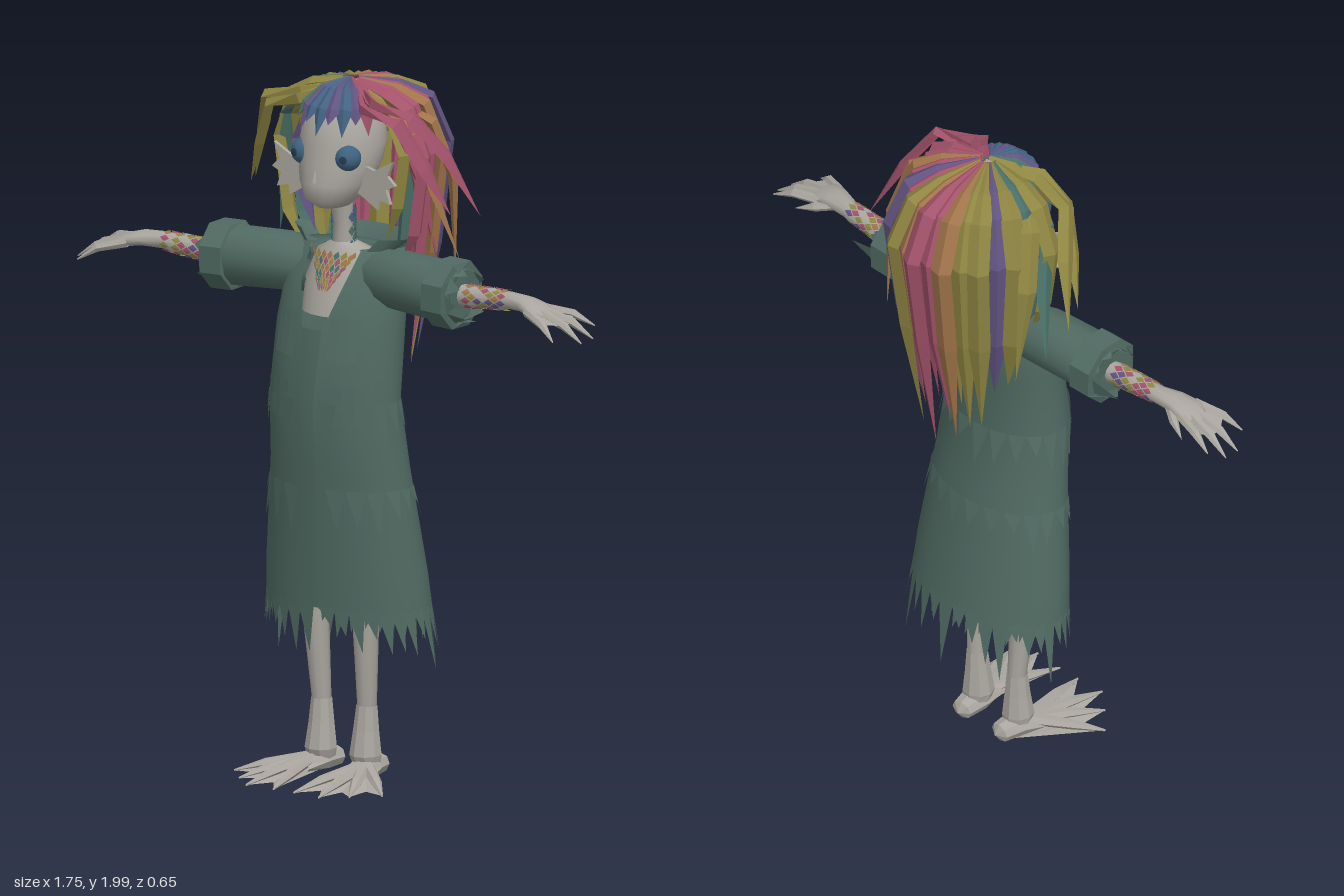
import * as THREE from 'three';
import { mergeVertices } from 'three/addons/utils/BufferGeometryUtils.js';

const V = (x, y, z) => new THREE.Vector3(x, y, z);
const mat = (name, color) => {
  const m = new THREE.MeshStandardMaterial({ color, side: THREE.DoubleSide });
  m.name = name;
  return m;
};

export function createModel() {
  const root = new THREE.Group();
  root.name = 'ragCoatedFigure';
  const coat = mat('coatGreen', 0x506a62), skin = mat('paleSkin', 0xaaa69f);
  const pink = mat('pink', 0xa3526a), olive = mat('olive', 0x8f8642), orange = mat('orange', 0xa0744a);
  const teal = mat('teal', 0x4a7069), purple = mat('purple', 0x625482), blue = mat('blue', 0x446283);
  const eyeBlue = mat('eyeBlue', 0x3f627f), pupilDark = mat('pupilDark', 0x263c50);
  let seed = 7;
  const rnd = () => (seed = (seed * 16807) % 2147483647) / 2147483647;

  const add = (name, geo, m, parent = root) => {
    const mesh = new THREE.Mesh(geo, m);
    mesh.name = name;
    parent.add(mesh);
    return mesh;
  };
  const group = (name) => {
    const g = new THREE.Group();
    g.name = name;
    root.add(g);
    return g;
  };
  const build = (pts, index) => {
    const g = new THREE.BufferGeometry().setFromPoints(pts);
    if (index) g.setIndex(index);
    return g;
  };
  const grid = (pts, n, smooth) => {
    const index = [], w = n + 1;
    for (let i = 0; i < pts.length / w - 1; i++) for (let j = 0; j < n; j++) {
      const a = i * w + j, c = a + w;
      index.push(a, c, a + 1, a + 1, c, c + 1);
    }
    let g = build(pts, index);
    g = smooth ? mergeVertices(g, 1e-5) : g.toNonIndexed();
    g.computeVertexNormals();
    return g;
  };
  const tris = (name, pts, m, parent) => {
    const g = build(pts);
    g.computeVertexNormals();
    return add(name, g, m, parent);
  };
  // Tube along points; each size is [width, thickness], ref points along the thickness
  const tube = (path, sizes, sides, ref, smooth = false) => {
    const pts = [];
    path.forEach((p, i) => {
      const t = path[Math.min(i + 1, path.length - 1)].clone().sub(path[Math.max(i - 1, 0)]).normalize();
      const side = t.clone().cross(ref).normalize(), n = side.clone().cross(t);
      for (let j = 0; j <= sides; j++) {
        const a = ((j % sides) / sides) * Math.PI * 2;
        pts.push(p.clone().addScaledVector(side, Math.cos(a) * sizes[i][0]).addScaledVector(n, Math.sin(a) * sizes[i][1]));
      }
    });
    return grid(pts, sides, smooth);
  };
  // Horizontal sections [y, half width, back z, front z, front gap angle], from top to bottom
  const section = ([y, rx, zb, zf], a, k = 1) =>
    V(rx * k * Math.sin(a), y, (zb + zf) / 2 + ((zf - zb) / 2) * k * Math.cos(a));
  const loft = (rows, n, k = 1) => {
    const pts = [];
    for (const r of rows) for (let j = 0; j <= n; j++) {
      const gap = r[4] || 0;
      pts.push(section(r, gap + (Math.PI * 2 - 2 * gap) * (gap ? j : j % n) / n, k));
    }
    return grid(pts, n, true);
  };

  // Coat, inner dress and collar
  const coatRows = [
    [1.51, 0.08, -0.06, 0.06, 0.8], [1.515, 0.165, -0.11, 0.085, 0.55], [1.42, 0.19, -0.112, 0.145, 0.38],
    [1.3, 0.196, -0.095, 0.185, 0.17], [1.1, 0.202, -0.065, 0.212, 0.12], [0.9, 0.218, -0.09, 0.188, 0.06],
    [0.6, 0.255, -0.135, 0.17, 0.04], [0.5, 0.262, -0.15, 0.165, 0.04]];
  add('coat', loft(coatRows, 32), coat);
  add('innerDress', loft(coatRows.slice(3).map((r) => r.slice(0, 4)), 24, 0.93), coat);
  add('collar', loft([[1.55, 0.195, -0.12, 0.08, 0.75], [1.5, 0.13, -0.07, 0.09, 0.75], [1.47, 0.13, -0.07, 0.1, 0.6]], 20), coat);
  const onCoat = (a, y, k = 1) => {
    const last = coatRows.length - 1, below = coatRows.findIndex((r) => r[0] < y);
    const i = below < 0 ? last - 1 : Math.max(1, below - 1);
    const p = coatRows[i], q = coatRows[i + 1], t = (p[0] - y) / (p[0] - q[0]);
    return section(p.slice(0, 4).map((v, c) => v + (q[c] - v) * t), a, k);
  };
  // Torn hem and ragged layers
  const hem = [], rags = [], N = 34;
  for (let i = 0; i < N; i++) {
    const a = 0.04 + (6.2 * i) / N, b = 0.04 + (6.2 * (i + 1)) / N, m = (a + b) / 2;
    const drop = 0.04 + 0.1 * rnd() + (Math.cos(m) < 0.3 && i % 4 === 0 ? 0.06 : 0);
    hem.push(onCoat(a - 0.02, 0.51), onCoat(m + 0.05, 0.5 - drop, 1.02), onCoat(b + 0.02, 0.51));
    hem.push(onCoat(a, 0.52, 0.95), onCoat(a + 0.02, 0.41 + 0.06 * rnd(), 0.95), onCoat(b, 0.52, 0.95));
  }
  for (const y of [1.1, 0.85]) for (let i = 0; i < 20; i++) {
    const a = 0.2 + (5.9 * i) / 20, h = 0.05 + 0.08 * rnd();
    rags.push(onCoat(a, y, 1.01), onCoat(a + 0.08 + 0.1 * rnd(), y - h, 1.045), onCoat(a + 0.28, y, 1.01));
  }
  tris('tornHem', hem, coat);
  tris('raggedLayers', rags, coat);
  // Chest and hip pockets
  for (const s of [1, -1]) for (const [y0, y1, a0, a1] of [[1.34, 1.22, 0.28, 0.75], [1.15, 1.04, 0.35, 0.9]]) {
    const p = (i, y) => onCoat(s * (a0 + ((a1 - a0) * i) / 3), y, 1.03);
    const cloth = [];
    for (let i = 0; i < 3; i++) cloth.push(p(i, y0), p(i, y1), p(i + 1, y1), p(i, y0), p(i + 1, y1), p(i + 1, y0));
    tris('pocket', cloth, coat);
  }

  // Torso and neck
  add('chest', loft([[1.53, 0.03, 0, 0.07], [1.5, 0.09, -0.05, 0.085], [1.42, 0.12, -0.07, 0.12], [1.33, 0.12, -0.07, 0.14]], 20), skin);
  add('neck', tube([V(0, 1.48, 0.03), V(0, 1.58, 0.035), V(0, 1.68, 0.05)], [[0.035, 0.035], [0.027, 0.027], [0.035, 0.035]], 10, V(0, 0, 1), true), skin);
  // Coloured scales: staggered diamonds on a surface at(u, v)
  const scales = (name, at, nu, nv, mats, wrap = false) => {
    const g = group(name), sets = mats.map(() => []);
    for (let j = 0; j < nv; j++) for (let i = 0; i < nu; i++) {
      const u = i + 0.5 + (wrap || i < nu - 1 ? (j % 2) / 2 : 0), v = j + 0.5;
      const d = [[0, -0.8], [0.45, 0], [0, 0.8], [-0.45, 0]].map(([x, y]) => at((u + x) / nu, (v + y) / nv));
      sets[Math.floor(rnd() * mats.length)].push(d[0], d[1], d[2], d[0], d[2], d[3]);
    }
    sets.forEach((p, k) => p.length && tris('scales', p, mats[k], g));
  };
  scales('chestScales', (u, v) => {
    const w = 0.08 * (1 - 0.75 * v), x = (u - 0.5) * 2 * w, y = 1.505 - 0.1 * v;
    return V(x, y, 0.095 + 0.04 * v - x * x * 4);
  }, 7, 6, [pink, orange, olive, pink, orange, teal]);
  scales('neckScales', (u, v) => {
    const a = 1.0 + u * 4.3, r = 0.036;
    return V(Math.sin(a) * r, 1.51 + 0.12 * v, 0.035 + Math.cos(a) * r);
  }, 6, 6, [blue, teal]);

  // Head
  add('head', loft([[1.975, 0, 0.02, 0.02], [1.955, 0.06, -0.04, 0.08], [1.9, 0.108, -0.085, 0.14], [1.82, 0.122, -0.09, 0.158],
    [1.76, 0.115, -0.07, 0.165], [1.71, 0.1, -0.04, 0.176], [1.665, 0.074, 0, 0.172], [1.64, 0.042, 0.02, 0.14], [1.64, 0, 0.08, 0.08]], 20), skin);
  const nose = add('nose', new THREE.ConeGeometry(0.012, 0.035, 4), skin);
  nose.position.set(0, 1.735, 0.168);
  for (const s of [1, -1]) {
    const eye = add('eye', new THREE.SphereGeometry(0.038, 16, 12), eyeBlue);
    eye.position.set(s * 0.075, 1.79, 0.116);
    const pupil = add('pupil', new THREE.SphereGeometry(0.0385, 12, 4, 0, Math.PI * 2, 0, 0.3), pupilDark);
    pupil.position.copy(eye.position);
    pupil.rotation.set(Math.PI / 2, 0, -s * 0.25);
    // Fin-shaped ears
    const fin = new THREE.Shape([[0.08, 1.77], [0.14, 1.755], [0.205, 1.79], [0.185, 1.745], [0.212, 1.72], [0.18, 1.705],
      [0.195, 1.665], [0.155, 1.675], [0.15, 1.645], [0.11, 1.67], [0.07, 1.69]].map(([x, y]) => new THREE.Vector2(s * x, y)));
    add('earFin', new THREE.ExtrudeGeometry(fin, { depth: 0.012, bevelEnabled: false }), skin).position.z = 0.07;
  }

  // Hair locks
  const hair = group('hair');
  const lock = (m, path, w) => {
    const end = path[path.length - 1], ref = V(end.x, 0, end.z + 0.001).normalize();
    const sizes = path.map((_, i) => (i === path.length - 1 ? [0, 0] : [i ? w : w * 0.4, i ? w * 0.55 : w * 0.3]));
    add('lock', tube(path, sizes, 4, ref), m, hair);
  };
  const backColours = [olive, teal, olive, purple, teal, olive, olive, orange, pink, pink, orange, olive, pink, orange, purple, pink, orange, pink, pink];
  for (const [count, k, dy] of [[17, 1, 0], [13, 0.74, 0.05]]) for (let i = 0; i < count; i++) {
    const f = (i / (count - 1)) * 2 - 1, a = f * 1.55, x = Math.sin(a), z = -Math.cos(a);
    const tip = Math.min(1.6, 1.1 + 0.36 * f * f + (i % 2 ? 0.12 : 0.03) * rnd() + dy), r = k * (i % 2 ? 0.93 : 1);
    const at = (d, y) => V(x * d * r * 0.8, y, z * d * r);
    lock(backColours[Math.round((f * 0.5 + 0.5) * 18 + (k < 1 ? 3 : 0)) % 19], [at(0.03, 1.98), at(0.16, 1.955 - dy * 0.5),
      at(0.25, 1.92 - dy), at(0.31, 1.79), at(0.27, Math.max(1.5, tip + 0.1)), at(0.21, tip)], 0.031);
  }
  // Fringe
  [olive, teal, purple, blue, blue, purple, blue, purple, pink].forEach((m, i) => {
    const a = (i - 4) * 0.3, x = Math.sin(a), z = Math.cos(a), low = i % 2 ? 1.885 : 1.85;
    lock(m, [V(0, 1.985, 0), V(x * 0.06, 1.965, 0.01 + z * 0.075), V(x * 0.11, 1.92, 0.025 + z * 0.11), V(x * 0.128, low, 0.03 + z * 0.135)], 0.025);
  });
  // Side bunches
  for (const s of [1, -1]) {
    const main = s > 0 ? pink : olive;
    const strands = [
      [main, [0.12, 1.935, 0.06], [0.25, 1.915, 0.05], [0.315, 1.8, -0.02], [0.388, 1.63, -0.08]],
      [main, [0.11, 1.925, 0.09], [0.22, 1.9, 0.08], [0.285, 1.77, 0.04], [0.345, 1.64, 0.0]],
      [s > 0 ? orange : teal, [0.13, 1.92, 0.03], [0.22, 1.86, 0.0], [0.25, 1.7, -0.04], [0.31, 1.49, -0.09]],
      [main, [0.1, 1.93, 0.06], [0.17, 1.87, 0.01], [0.2, 1.7, -0.06], [0.22, 1.46, -0.11]],
      [s > 0 ? pink : teal, [0.1, 1.93, 0.03], [0.155, 1.86, -0.03], [0.175, 1.7, -0.07], [0.19, 1.53, -0.1]],
      [s > 0 ? orange : olive, [0.13, 1.93, -0.02], [0.23, 1.88, -0.07], [0.265, 1.72, -0.12], [0.25, 1.42, -0.15]]];
    for (const [m, ...p] of strands) lock(m, [V(s * 0.02, 1.97, 0), ...p.map(([x, y, z]) => V(s * x, y, z))], 0.027);
  }

  for (const s of [1, -1]) {
    const P = ([x, y, z]) => V(s * x, y, z), up = V(0, 1, 0), front = V(0, 0, 1);
    // Sleeve, rolled cuff and torn lining
    const round = (list) => list.map((r) => [r, r]);
    add('sleeve', tube([[0.1, 1.44, 0.02], [0.2, 1.443, 0.035], [0.37, 1.437, 0.05]].map(P), round([0.075, 0.086, 0.088]), 12, up, true), coat);
    add('cuff', tube([[0.345, 1.437, 0.05], [0.35, 1.437, 0.05], [0.42, 1.435, 0.053], [0.43, 1.435, 0.053], [0.4, 1.435, 0.053]].map(P),
      round([0.085, 0.1, 0.1, 0.075, 0.04]), 8, V(0, 0.92, 0.38)), coat);
    const torn = [];
    for (let i = 0; i < 9; i++) {
      const q = (a, x, r) => P([x, 1.435 + Math.cos(a) * r, 0.053 + Math.sin(a) * r]), a = i * 0.7;
      torn.push(q(a, 0.42, 0.08), q(a + 0.4, i === 6 ? 0.52 : 0.43 + 0.04 * rnd(), 0.07), q(a + 0.7, 0.42, 0.08));
    }
    tris('tornLining', torn, coat);
    // Arm with scale bands
    add('arm', tube([[0.38, 1.435, 0.053], [0.48, 1.438, 0.057], [0.6, 1.447, 0.06], [0.66, 1.447, 0.07], [0.71, 1.437, 0.078], [0.75, 1.425, 0.08]].map(P),
      [[0.032, 0.032], [0.031, 0.031], [0.028, 0.024], [0.04, 0.022], [0.05, 0.018], [0.02, 0.008]], 10, up, true), skin);
    scales('armScales', (u, v) => {
      const a = u * Math.PI * 2, r = 0.035 - 0.005 * v;
      return P([0.45 + 0.14 * v, 1.437 + 0.009 * v + Math.cos(a) * r, 0.056 + 0.004 * v + Math.sin(a) * r]);
    }, 9, 7, [pink, olive, orange, pink, purple, olive, skin], true);
    // Webbed fingers and thumb
    const fingers = [[0.845, 1.4, 0.005], [0.872, 1.375, 0.05], [0.868, 1.37, 0.1], [0.82, 1.38, 0.168]].map(P);
    const knuckles = fingers.map((_, i) => P([0.69 + (i % 3 ? 0.02 : 0), 1.437, 0.045 + i * 0.022]));
    const mids = fingers.map((f, i) => knuckles[i].clone().lerp(f, 0.6).add(V(0, 0.014, 0)));
    fingers.forEach((f, i) => {
      add('finger', tube([knuckles[i], mids[i], f], [[0.015, 0.015], [0.014, 0.012], [0.002, 0.002]], 6, up), skin);
      if (i) tris('fingerWeb', [knuckles[i - 1], mids[i - 1], mids[i], knuckles[i - 1], mids[i], knuckles[i]], skin);
    });
    add('thumb', tube([[0.65, 1.44, 0.05], [0.7, 1.425, 0.02], [0.755, 1.405, -0.005]].map(P), [[0.013, 0.013], [0.013, 0.013], [0, 0]], 6, up), skin);

    // Leg and flared ankle
    add('leg', tube([[0.09, 0.65, 0.04], [0.085, 0.42, 0.045], [0.078, 0.2, 0.03]].map(P), round([0.045, 0.036, 0.027]), 10, front, true), skin);
    add('ankle', tube([[0.078, 0.21, 0.03], [0.077, 0.14, 0.032], [0.077, 0.07, 0.035], [0.078, 0.045, 0.03]].map(P), round([0.03, 0.037, 0.046, 0.04]), 9, front), skin);
    // Webbed foot
    add('heel', tube([[0.072, 0.03, -0.052], [0.074, 0.032, -0.035], [0.08, 0.036, 0.03], [0.1, 0.025, 0.11]].map(P), [[0, 0], [0.032, 0.028], [0.045, 0.034], [0.05, 0.015]], 8, up), skin);
    const tips = [[0.035, 0.008, 0.315], [0.125, 0.008, 0.32], [0.19, 0.008, 0.265], [0.255, 0.008, 0.2]].map(P);
    const base = P([0.09, 0.045, 0.05]), web = [];
    tips.forEach((t, i) => {
      add('toe', tube([base, base.clone().lerp(t, 0.6).add(V(0, 0.004, 0)), t], [[0.022, 0.016], [0.017, 0.014], [0.003, 0.003]], 6, up), skin);
      if (!i) return;
      const valley = tips[i - 1].clone().add(t).multiplyScalar(0.5).lerp(P([0.09, 0.008, 0.05]), 0.25);
      web.push(base, tips[i - 1], valley, base, valley, t);
      const sole = P([0.09, 0.001, 0.0]);
      web.push(sole, valley, tips[i - 1], sole, t, valley);
    });
    tris('footWeb', web, skin);
  }
  return root;
}
